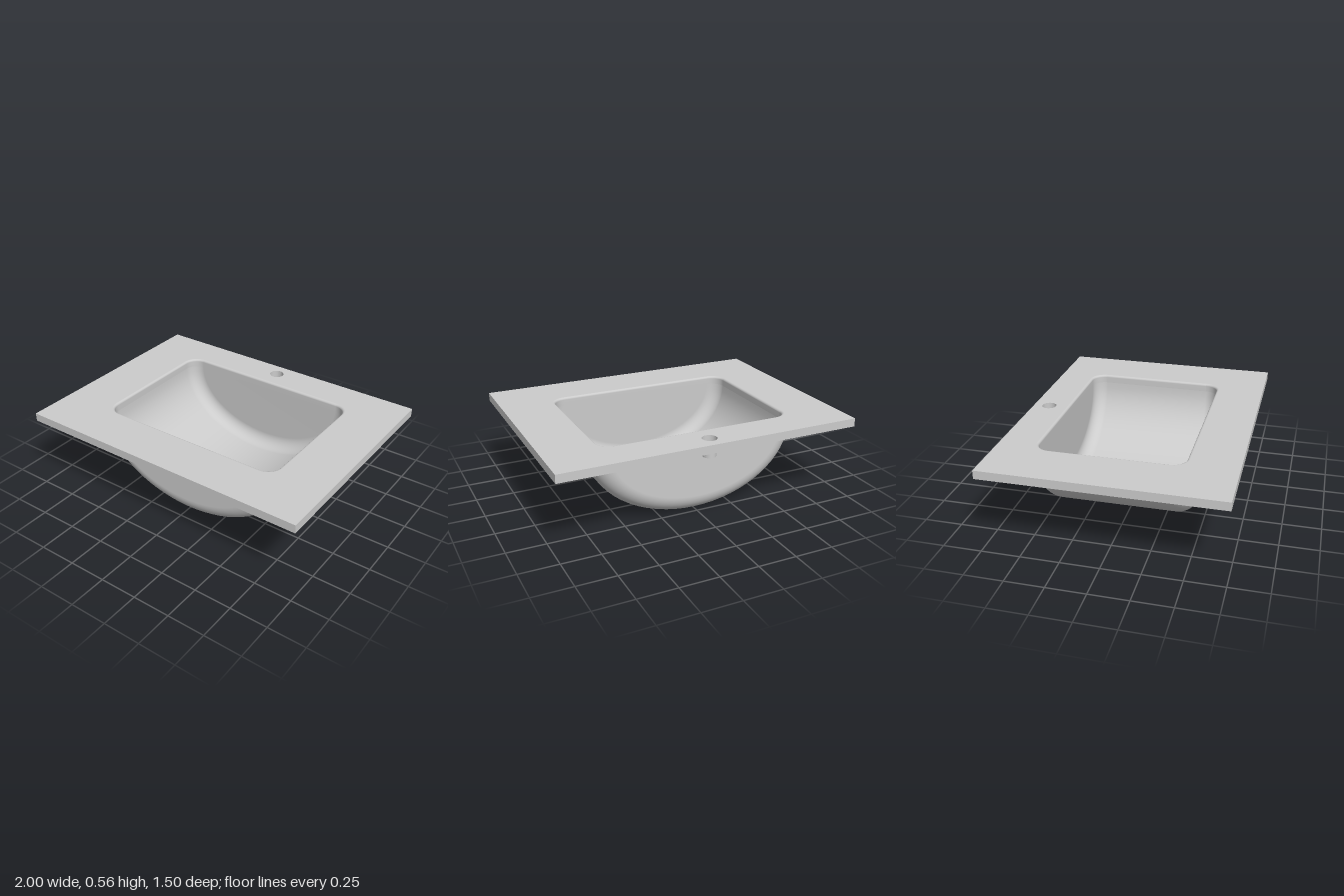
import * as THREE from 'three';

const material = new THREE.MeshStandardMaterial({ color: 0xcccccc, side: THREE.DoubleSide });
const BASE = 0.5, TOP = 0.555;          // underside and top of the slab
const OUTER = { a: 0.7, b: 0.5, z0: -0.53, z1: 0.465, r: 0.12 };
const INNER = { a: 0.645, b: 0.46, z0: -0.505, z1: 0.425, r: 0.09 };
const TAP_Z = -0.645;

// Skin a list of equal-length rows of [x, y, z] points
function loft(rows) {
  const n = rows[0].length, index = [];
  for (let i = 0; i < rows.length - 1; i++) {
    for (let j = 0; j < n - 1; j++) {
      const p = i * n + j, q = p + n;
      index.push(p, p + 1, q, p + 1, q + 1, q);
    }
  }
  const geometry = new THREE.BufferGeometry();
  geometry.setAttribute('position', new THREE.Float32BufferAttribute(rows.flat(2), 3));
  geometry.setIndex(index);
  geometry.computeVertexNormals();
  return geometry;
}

// Half-elliptical trough along z with filleted, flat ends
function trough({ a, b, z0, z1, r }, steps = 32, fillet = 10) {
  const section = (inset, z, scale = 1) => Array.from({ length: steps + 1 }, (_, j) => {
    const t = Math.PI * j / steps;
    return [scale * (a - inset) * Math.cos(t), BASE - scale * (b - inset) * Math.sin(t), z];
  });
  const rows = [section(r, z0, 0)];
  for (let i = 0; i <= fillet; i++) {
    const t = Math.PI / 2 * i / fillet;
    rows.push(section(r * (1 - Math.sin(t)), z0 + r * (1 - Math.cos(t))));
  }
  for (let i = fillet; i >= 0; i--) {
    const t = Math.PI / 2 * i / fillet;
    rows.push(section(r * (1 - Math.sin(t)), z1 - r * (1 - Math.cos(t))));
  }
  rows.push(section(r, z1, 0));
  return loft(rows);
}

// Closed rounded-rectangle loop around a trough, grown by an offset
function outline({ a, z0, z1, r }, offset, y, steps = 10) {
  const points = [];
  const corners = [[a - r, z1 - r], [r - a, z1 - r], [r - a, z0 + r], [a - r, z0 + r]];
  corners.forEach(([cx, cz], k) => {
    for (let i = 0; i <= steps; i++) {
      const t = Math.PI / 2 * (k + i / steps);
      points.push([cx + (r + offset) * Math.cos(t), y, cz + (r + offset) * Math.sin(t)]);
    }
  });
  points.push([...points[0]]);
  return points;
}

export function createModel() {
  const model = new THREE.Group();
  const add = (name, geometry) => {
    const mesh = new THREE.Mesh(geometry, material);
    mesh.name = name;
    model.add(mesh);
    return mesh;
  };

  // Flat countertop with basin opening and tap hole
  const slab = new THREE.Shape([[-1, -0.75], [1, -0.75], [1, 0.75], [-1, 0.75]]
    .map(([x, y]) => new THREE.Vector2(x, y)));
  slab.holes.push(new THREE.Path(outline(INNER, 0.015, 0).slice(0, -1)
    .map(([x, , z]) => new THREE.Vector2(x, -z))));
  slab.holes.push(new THREE.Path().absarc(0, -TAP_Z, 0.048, 0, Math.PI * 2, true));
  const slabGeometry = new THREE.ExtrudeGeometry(slab,
    { depth: TOP - BASE, bevelEnabled: false, curveSegments: 24 });
  slabGeometry.rotateX(-Math.PI / 2).translate(0, BASE, 0);
  add('countertop', slabGeometry);

  // Bowl shells
  add('bowlOutside', trough(OUTER));
  add('bowlInside', trough(INNER));

  // Rounded lip into the bowl, and the fillet under the slab
  const lip = [outline(INNER, 0, BASE)];
  const flare = [];
  for (let i = 0; i <= 5; i++) {
    const t = Math.PI / 2 * i / 5, c = 1 - Math.cos(t), s = Math.sin(t);
    lip.push(outline(INNER, 0.015 * c, TOP - 0.015 + 0.015 * s));
    flare.push(outline(OUTER, 0.02 * c, BASE - 0.025 + 0.025 * s));
  }
  add('bowlLip', loft(lip));
  add('undersideFillet', loft(flare));

  // Closed tap socket below the tap hole, with separate runs for sharp edges
  const socket = new THREE.Group();
  socket.name = 'tapSocket';
  socket.position.z = TAP_Z;
  const runs = {
    socketFloor: [[0, 0.44], [0.043, 0.44]],
    socketWall: [[0.043, 0.44], [0.043, BASE]],
    socketLedge: [[0.043, BASE], [0.048, BASE]],
  };
  for (const [name, run] of Object.entries(runs)) {
    socket.add(add(name, new THREE.LatheGeometry(run.map(([x, y]) => new THREE.Vector2(x, y)), 32)));
  }
  model.add(socket);
  return model;
}
